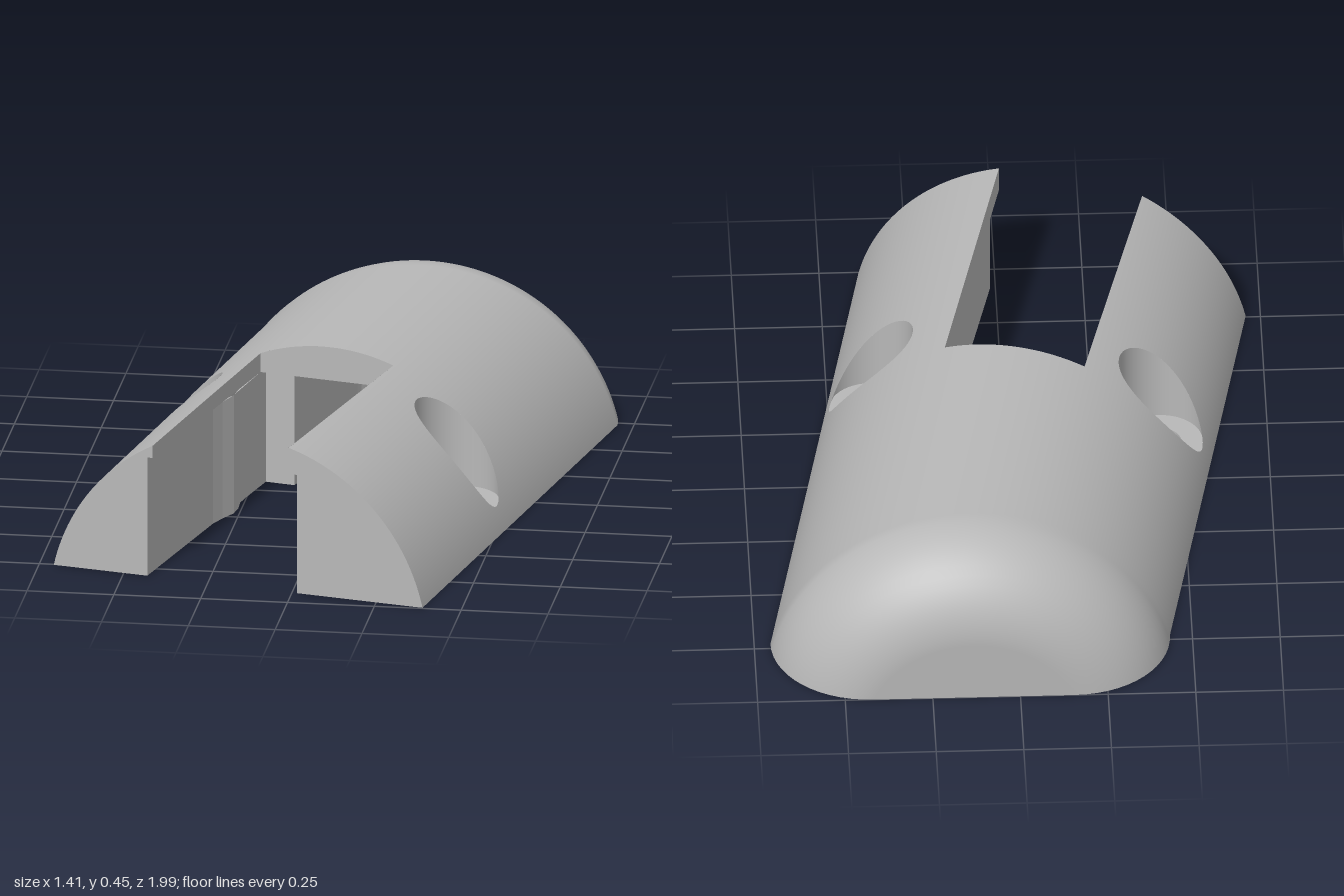
import * as THREE from 'three';

// Section: a circle of radius R centred CY below the base; axis skewed in plan
const R = 0.5845, CY = 0.13, SKEW = 0.183;
const BACK = -0.73, FILLET = 0.27;           // where the rounded end begins, and its radius
const ROOF = 0.355, FLOOR = 0.085;           // pocket ceiling, counterbore floor
const BORE = 0.12, HOLE = 0.058, SEG = 48;
const HOLES = [[-0.44, 0.07], [0.38, 0.25]];

const frontZ = x => 0.9096 + 0.219 * x;
const height = (x, z) => {
  const u = x + SKEW * z;
  return Math.max(0, Math.sqrt(Math.max(0, R * R - u * u)) - CY);
};
const onFront = x => [x, frontZ(x)];

// Point and normal on the shell: t across (0 = +x rim), phi = angle in the end fillet, k = 0..1 to the front
function shell(t, phi, k) {
  const r = R - FILLET * (1 - Math.cos(phi));
  const a0 = Math.asin(CY / r), a = a0 + (Math.PI - 2 * a0) * t;
  const c = Math.cos(a), s = Math.sin(a), u = r * c;
  const z = k > 0 ? BACK + (0.8745 + 0.2106 * u - BACK) * k : BACK - FILLET * Math.sin(phi);
  const n = phi > 0 ? [c * Math.cos(phi), s * Math.cos(phi), -Math.sin(phi)] : [c, s, SKEW * c];
  return [u - SKEW * Math.max(z, BACK), Math.max(0, r * s - CY), z, ...n];
}

// Cut a convex plan polygon out of a list of 3D polygons
function subtract(polys, cutter) {
  const cx = cutter.reduce((s, p) => s + p[0], 0) / cutter.length;
  const cz = cutter.reduce((s, p) => s + p[1], 0) / cutter.length;
  const out = [];
  for (const poly of polys) {
    let rest = poly;
    const pieces = [];
    for (let i = 0; i < cutter.length && rest.length > 2; i++) {
      const [ax, az] = cutter[i], [bx, bz] = cutter[(i + 1) % cutter.length];
      const cross = (x, z) => (bx - ax) * (z - az) - (bz - az) * (x - ax);
      const sign = Math.sign(cross(cx, cz));
      const inside = [], outside = [];
      rest.forEach((p, j) => {
        const q = rest[(j + 1) % rest.length];
        const dp = sign * cross(p[0], p[2]), dq = sign * cross(q[0], q[2]);
        (dp >= 0 ? inside : outside).push(p);
        if ((dp >= 0) !== (dq >= 0)) {
          const m = p.map((v, n) => v + (q[n] - v) * dp / (dp - dq));
          inside.push(m);
          outside.push(m);
        }
      });
      if (outside.length > 2) pieces.push(outside);
      rest = inside;
    }
    if (rest.length > 2) out.push(...pieces);
    else out.push(poly);
  }
  return out;
}

function polysGeometry(polys) {
  const pos = [], nor = [];
  for (const p of polys) for (let i = 1; i + 1 < p.length; i++)
    for (const v of [p[0], p[i], p[i + 1]]) {
      pos.push(...v.slice(0, 3));
      nor.push(...v.slice(3));
    }
  const g = new THREE.BufferGeometry();
  g.setAttribute('position', new THREE.Float32BufferAttribute(pos, 3));
  g.setAttribute('normal', new THREE.Float32BufferAttribute(nor, 3));
  return g;
}

// Upright wall along a plan path; low and high are numbers or functions of x, z
function wallGeometry(path, low, high, steps = 1) {
  const val = (f, p) => (typeof f === 'function' ? f(...p) : f);
  const pos = [];
  for (let i = 0; i + 1 < path.length; i++) for (let j = 0; j < steps; j++) {
    const at = k => path[i].map((v, n) => v + (path[i + 1][n] - v) * k / steps);
    const p = at(j), q = at(j + 1);
    const a = [p[0], val(low, p), p[1]], b = [q[0], val(low, q), q[1]];
    const c = [q[0], val(high, q), q[1]], d = [p[0], val(high, p), p[1]];
    pos.push(...a, ...b, ...c, ...a, ...c, ...d);
  }
  const g = new THREE.BufferGeometry();
  g.setAttribute('position', new THREE.Float32BufferAttribute(pos, 3));
  g.computeVertexNormals();
  return g;
}

// Flat downward face from a plan outline
function plateGeometry(outline, y, holes = []) {
  const shape = new THREE.Shape(outline.map(p => new THREE.Vector2(...p)));
  for (const [x, z] of holes)
    shape.holes.push(new THREE.Path().absarc(x, z, HOLE, 0, Math.PI * 2, true));
  return new THREE.ShapeGeometry(shape, SEG / 2).rotateX(Math.PI / 2).translate(0, y, 0);
}

function moveY(g, rule) {
  const p = g.attributes.position;
  for (let i = 0; i < p.count; i++) p.setY(i, rule(p.getX(i), p.getY(i), p.getZ(i)));
  return g;
}

export function createModel() {
  const group = new THREE.Group();
  const grey = new THREE.MeshStandardMaterial({ color: 0xb8b8b8, side: THREE.DoubleSide });
  grey.name = 'grey';
  const add = (name, geometry) => {
    const mesh = new THREE.Mesh(geometry, grey);
    mesh.name = name;
    group.add(mesh);
  };

  // Open slot, and the slightly wider pocket with small side bumps and a round-ended channel under it
  const slot = [onFront(-0.415), [-0.22, 0], [0.175, 0.09], onFront(-0.01)];
  const side = (a, b, inward) => Array.from({ length: 19 }, (_, i) => {
    const k = i / 18, d = (k - 0.68) / 0.12;
    const bump = Math.abs(d) < 1 ? 0.011 * (1 + Math.cos(Math.PI * d)) : 0;
    return [a[0] + (b[0] - a[0]) * k + inward * bump, a[1] + (b[1] - a[1]) * k];
  });
  const end = Array.from({ length: 17 }, (_, i) => {
    const a = Math.PI + 0.23 + Math.PI * i / 16;
    return [0.108 + 0.123 * Math.cos(a), -0.475 + 0.123 * Math.sin(a)];
  });
  const pocket = [
    ...side(onFront(-0.43), [-0.216, -0.08], 1), [-0.131, -0.06],
    ...end, [0.116, -0.005],
    ...side(onFront(0.015), [0.222, 0.015], -1).reverse(),
  ];

  // Arched shell with a rounded back end
  const rows = [];
  for (let i = 0; i <= 14; i++) rows.push([Math.PI / 2 * (1 - i / 14), 0]);
  rows[14][0] = 0;
  for (let i = 1; i <= 4; i++) rows.push([0, i / 4]);
  const N = 72;
  let faces = [];
  for (let j = 0; j + 1 < rows.length; j++) for (let i = 0; i < N; i++) {
    const at = (di, dj) => shell((i + di) / N, ...rows[j + dj]);
    faces.push([at(0, 0), at(1, 0), at(1, 1)], [at(0, 0), at(1, 1), at(0, 1)]);
  }
  faces = subtract(faces, [[-0.415 - 0.05, frontZ(-0.415) + 0.209], slot[1], slot[2],
    [-0.01 - 0.045, frontZ(-0.01) + 0.2]]);
  for (const [x, z] of HOLES)
    faces = subtract(faces, Array.from({ length: SEG }, (_, i) => {
      const a = i / SEG * Math.PI * 2;
      return [x + BORE * Math.sin(a), z + BORE * Math.cos(a)];
    }));
  add('archedShell', polysGeometry(faces));

  // Flat patch on the back end
  const rim = Array.from({ length: N + 1 }, (_, i) => shell(i / N, Math.PI / 2, 0));
  add('backFace', new THREE.ShapeGeometry(new THREE.Shape(
    rim.map(p => new THREE.Vector2(-p[0], p[1])).reverse())).rotateY(Math.PI).translate(0, 0, -1));

  // Underside
  const plan = (t, row) => { const p = shell(t, ...row); return [p[0], p[2]]; };
  const cap = rows.slice(0, 15);
  const rightFront = plan(0, [0, 1]), leftFront = plan(1, [0, 1]);
  add('underside', plateGeometry([
    rightFront, ...[...cap].reverse().map(r => plan(0, r)),
    ...cap.map(r => plan(1, r)), leftFront, ...pocket], 0, HOLES));

  // Pocket and slot walls, with the ceiling between them
  add('pocketWalls', wallGeometry(pocket, 0, ROOF));
  add('pocketCeiling', plateGeometry([...pocket, ...[...slot].reverse()], ROOF));
  add('slotWalls', wallGeometry(slot, ROOF, height, 24));

  // Front ends of the two legs, with the small lips over the pocket
  add('leftLegFront', wallGeometry([onFront(0.015), rightFront], 0, height, 60));
  add('rightLegFront', wallGeometry([leftFront, onFront(-0.43)], 0, height, 60));
  add('leftLip', wallGeometry([onFront(-0.01), onFront(0.015)], ROOF, height, 4));
  add('rightLip', wallGeometry([onFront(-0.43), onFront(-0.415)], ROOF, height, 4));

  // Counterbored screw holes
  for (const [x, z] of HOLES) {
    const floor = (px, pz) => Math.min(FLOOR, height(px, pz));
    add('counterboreWall', moveY(
      new THREE.CylinderGeometry(BORE, BORE, 1, SEG, 1, true).translate(x, 0, z),
      (px, y, pz) => (y > 0 ? height(px, pz) : floor(px, pz))));
    add('counterboreFloor', moveY(
      new THREE.RingGeometry(HOLE, BORE, SEG, 4).rotateX(-Math.PI / 2).translate(x, 0, z),
      (px, y, pz) => floor(px, pz)));
    add('screwHole', new THREE.CylinderGeometry(HOLE, HOLE, FLOOR, SEG, 1, true)
      .translate(x, FLOOR / 2, z));
  }
  return group;
}
